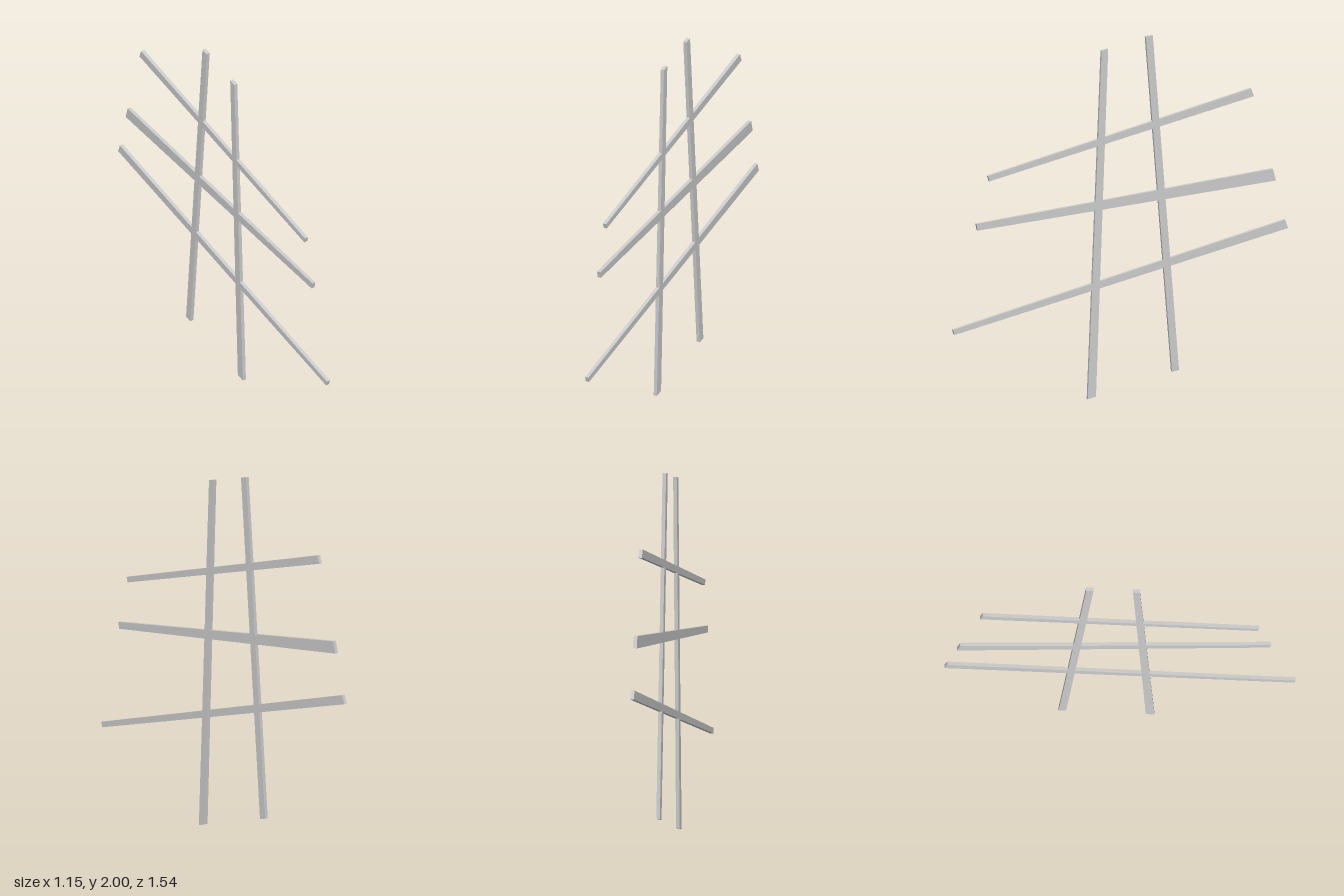
import * as THREE from 'three';

const THICKNESS = 0.02;

// Flat tapered slat: corners run counter-clockwise in the lattice plane
function slat(name, corners) {
  const shape = new THREE.Shape(corners.map(([s, y]) => new THREE.Vector2(s, y)));
  const geometry = new THREE.ExtrudeGeometry(shape, { depth: THICKNESS, bevelEnabled: false });
  geometry.translate(0, 0, -THICKNESS / 2);
  const material = new THREE.MeshStandardMaterial({ color: 0xcccccc, flatShading: true });
  const mesh = new THREE.Mesh(geometry, material);
  mesh.name = name;
  return mesh;
}

export function createModel() {
  const model = new THREE.Group();
  model.name = 'lattice';

  // All slats share one upright plane, turned about the vertical axis
  const panel = new THREE.Group();
  panel.name = 'latticePanel';
  panel.rotation.y = -Math.atan2(0.804, 0.595);
  model.add(panel);

  // Two leaning uprights
  panel.add(slat('farUpright', [[-0.329, 0.125], [-0.289, 0.118], [-0.14, 1.994], [-0.18, 2]]));
  panel.add(slat('nearUpright', [[0.143, 0.012], [0.19, 0], [0.111, 1.935], [0.0735, 1.943]]));

  // Three sloping crossbars, thicker at their raised ends
  panel.add(slat('upperCrossbar', [[-0.755, 1.62], [0.749, 1.255], [0.757, 1.284], [-0.739, 1.664]]));
  panel.add(slat('middleCrossbar', [[-0.88, 1.141], [0.816, 0.985], [0.823, 1.022], [-0.863, 1.207]]));
  panel.add(slat('lowerCrossbar', [[-0.949, 0.871], [0.948, 0.413], [0.956, 0.442], [-0.933, 0.919]]));

  return model;
}
